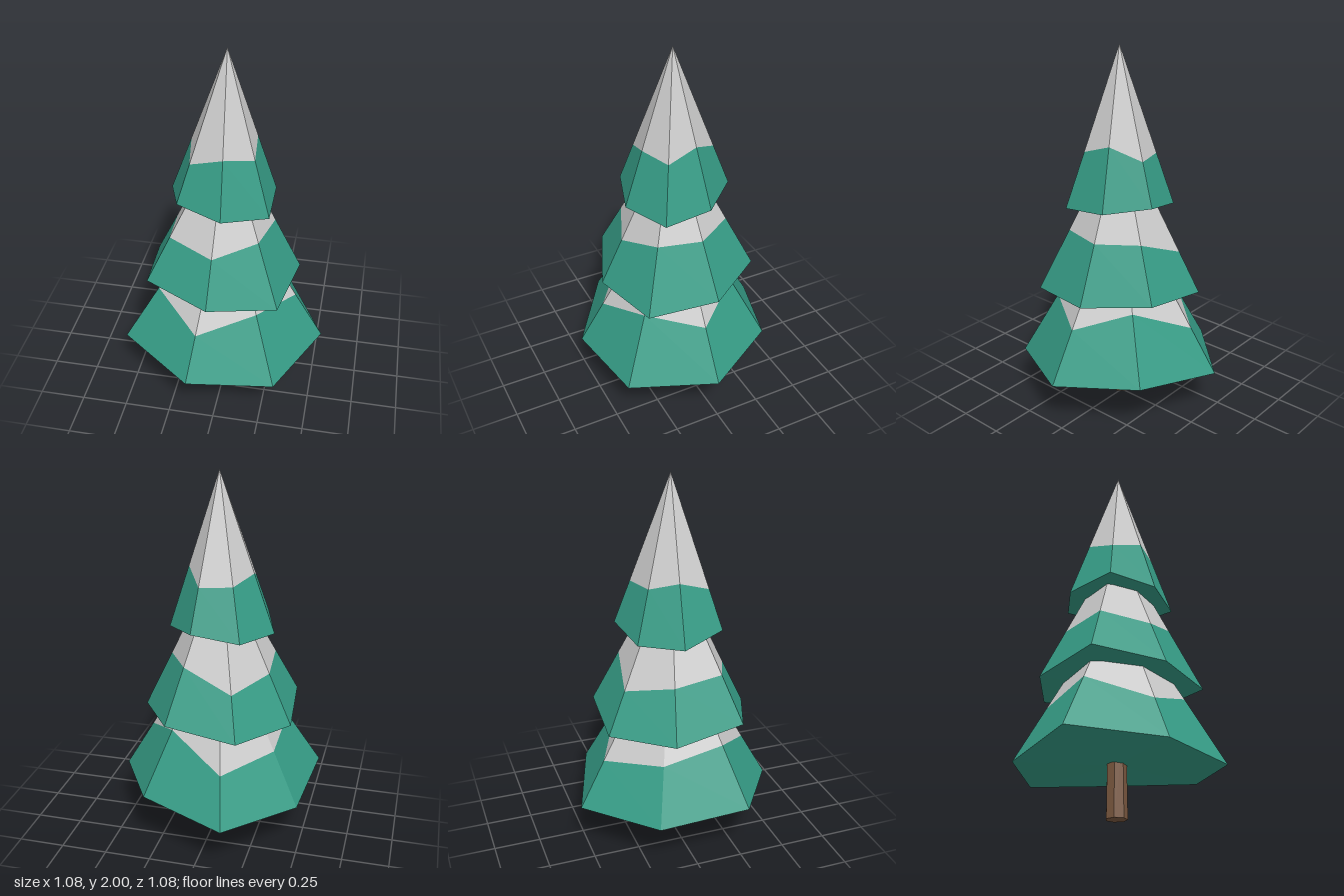
import * as THREE from 'three';

const green = new THREE.MeshStandardMaterial({ color: 0x369c86, flatShading: true });
const snow = new THREE.MeshStandardMaterial({ color: 0xcccccc, flatShading: true });
const bark = new THREE.MeshStandardMaterial({ color: 0x7d5a41, flatShading: true });

// Each tier: apex, then uneven rim corners [x, y, z, snow line as a fraction of the way to the apex]
const tiers = [
  {
    name: 'lower', apex: [-0.01, 1.21, 0.02],
    rim: [
      [-0.15, 0.255, -0.54, 0.257], [0.31, 0.31, -0.39, 0.378], [0.54, 0.275, 0.02, 0.289],
      [0.325, 0.245, 0.455, 0.368], [-0.14, 0.265, 0.54, 0.249], [-0.54, 0.31, 0.27, 0.339],
      [-0.49, 0.255, -0.205, 0.3],
    ],
  },
  {
    name: 'middle', apex: [-0.01, 1.56, 0.02],
    rim: [
      [-0.19, 0.685, -0.385, 0.257], [0.19, 0.735, -0.365, 0.345], [0.39, 0.705, -0.05, 0.357],
      [0.315, 0.675, 0.32, 0.38], [-0.045, 0.7, 0.43, 0.29], [-0.395, 0.74, 0.285, 0.3],
      [-0.425, 0.685, -0.095, 0.31],
    ],
  },
  {
    name: 'upper', apex: [-0.005, 2, 0.02],
    rim: [
      [-0.17, 1.165, -0.215, 0.33], [0.075, 1.215, -0.265, 0.287], [0.24, 1.183, -0.075, 0.4],
      [0.24, 1.155, 0.18, 0.355], [0.01, 1.18, 0.3, 0.366], [-0.23, 1.215, 0.225, 0.267],
      [-0.31, 1.165, -0.01, 0.377],
    ],
  },
];

// Mesh from a list of triangle corners
function facets(name, corners, material) {
  const geometry = new THREE.BufferGeometry().setFromPoints(corners);
  geometry.computeVertexNormals();
  const mesh = new THREE.Mesh(geometry, material);
  mesh.name = name;
  return mesh;
}

// One cone of branches with a snow cap
function makeTier({ name, apex, rim }) {
  const top = new THREE.Vector3(...apex);
  const low = rim.map(([x, y, z]) => new THREE.Vector3(x, y, z));
  const line = low.map((p, i) => p.clone().lerp(top, rim[i][3]));
  const centre = new THREE.Vector3();
  low.forEach((p) => centre.addScaledVector(p, 1 / low.length));

  const branches = [], cap = [];
  for (let i = 0; i < low.length; i++) {
    const j = (i + 1) % low.length;
    branches.push(low[i], line[i], line[j], low[i], line[j], low[j]); // sloping side
    branches.push(low[i], low[j], centre); // underside
    cap.push(line[i], top, line[j]);
  }
  const tier = new THREE.Group();
  tier.name = name + 'Tier';
  tier.add(facets(name + 'Branches', branches, green), facets(name + 'Snow', cap, snow));
  return tier;
}

export function createModel() {
  const tree = new THREE.Group();
  tree.name = 'snowyTree';

  // Trunk, running up into the lowest tier
  const trunk = new THREE.Mesh(new THREE.CylinderGeometry(0.05, 0.056, 0.4, 7), bark);
  trunk.name = 'trunk';
  trunk.position.set(-0.023, 0.2, 0.026);
  tree.add(trunk);

  tiers.forEach((t) => tree.add(makeTier(t)));
  return tree;
}
